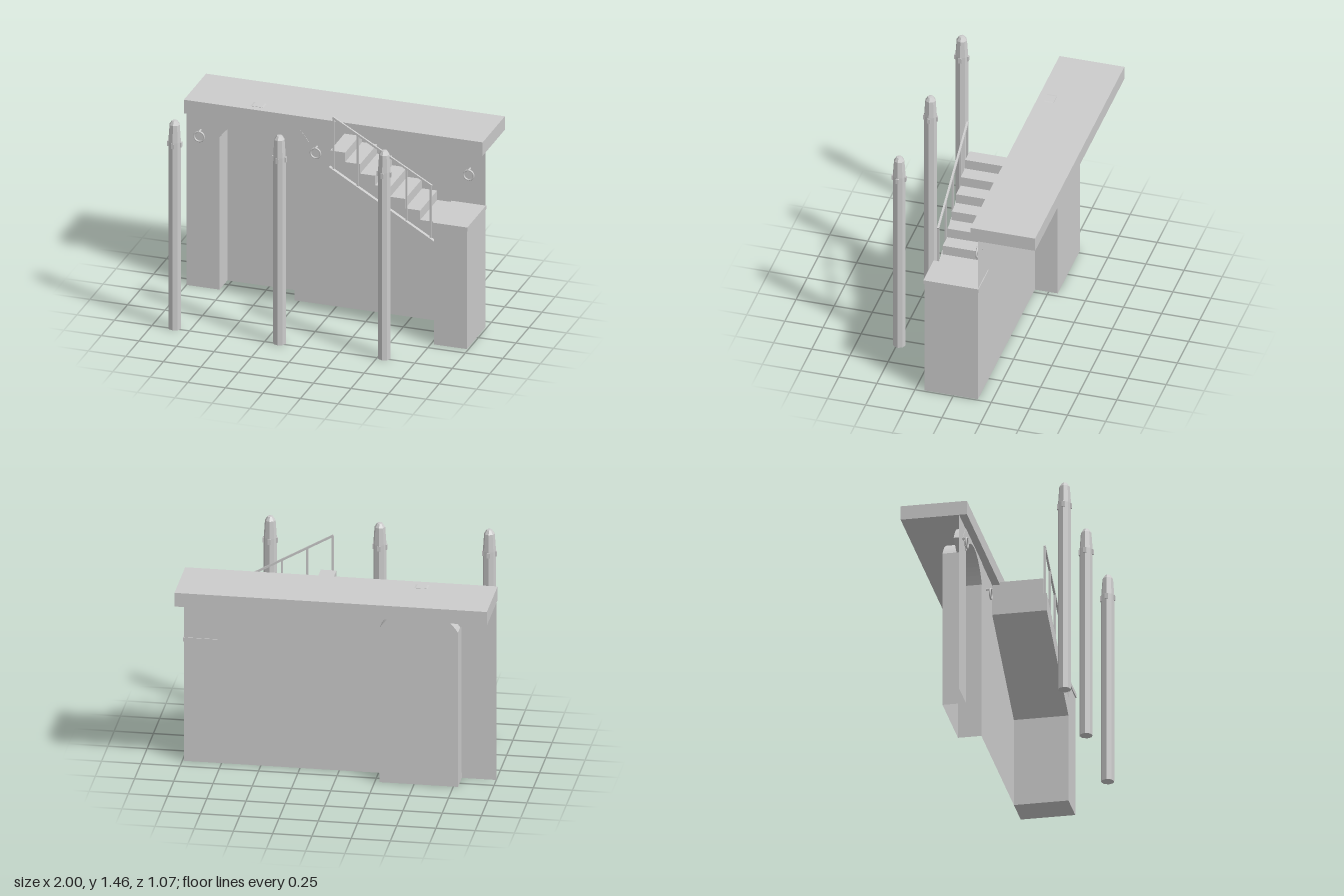
import * as THREE from 'three';

const mat = new THREE.MeshStandardMaterial({ color: 0xcccccc });
const flat = new THREE.MeshStandardMaterial({ color: 0xcccccc, flatShading: true });
const thin = new THREE.MeshStandardMaterial({ color: 0xcccccc, side: THREE.DoubleSide });

export function createModel() {
  const model = new THREE.Group();

  const add = (name, geometry, material = mat, parent = model) => {
    const mesh = new THREE.Mesh(geometry, material);
    mesh.name = name;
    parent.add(mesh);
    return mesh;
  };
  // Box given by its limits on each axis
  const box = (name, x0, x1, y0, y1, z0, z1, parent = model) => {
    const mesh = add(name, new THREE.BoxGeometry(x1 - x0, y1 - y0, z1 - z0), mat, parent);
    mesh.position.set((x0 + x1) / 2, (y0 + y1) / 2, (z0 + z1) / 2);
    return mesh;
  };
  const toShape = (pts) => new THREE.Shape(pts.map(([x, y]) => new THREE.Vector2(x, y)));
  const extrude = (name, pts, z0, z1) => {
    const g = new THREE.ExtrudeGeometry(toShape(pts), { depth: z1 - z0, bevelEnabled: false });
    return add(name, g.translate(0, 0, z0));
  };

  // Arch geometry: a segment of a circle between two springing points
  const cx = -0.53, cy = 0.897, rIn = 0.293, rOut = 0.404;
  const a0 = Math.atan2(0.153, 0.25);
  const arc = (r, n) => Array.from({ length: n + 1 }, (_, i) => {
    const a = Math.PI - a0 - (Math.PI - 2 * a0) * i / n;
    return [cx + r * Math.cos(a), cy + r * Math.sin(a)];
  });
  const opening = [[-0.78, 0], ...arc(rIn, 20), [-0.28, 0]];

  // Wall with the arched opening cut up from its foot
  const wallZ = -0.16, nicheZ = -0.31;
  const wallPts = [[-1, 0], ...opening, [0.99, 0], [0.99, 1.205], [-1, 1.205]];
  add('wall', new THREE.ShapeGeometry(toShape(wallPts)).translate(0, 0, wallZ), thin);

  // Niche: back panel and the strip that lines the opening
  add('nicheBack', new THREE.ShapeGeometry(toShape(opening)).translate(0, 0, nicheZ), thin);
  const strip = [];
  for (let i = 0; i < opening.length - 1; i++) {
    const [ax, ay] = opening[i], [bx, by] = opening[i + 1];
    strip.push(ax, ay, wallZ, ax, ay, nicheZ, bx, by, nicheZ,
      ax, ay, wallZ, bx, by, nicheZ, bx, by, wallZ);
  }
  const lining = new THREE.BufferGeometry();
  lining.setAttribute('position', new THREE.Float32BufferAttribute(strip, 3));
  lining.computeVertexNormals();
  add('nicheLining', lining, thin);

  extrude('archTrim', [...arc(rIn, 20), ...arc(rOut, 13).reverse()], -0.22, -0.157);

  // Roof slab
  box('roof', -1, 0.99, 1.205, 1.298, -0.535, -0.11);

  // Landing
  box('landingPier', 0.77, 0.99, 0, 0.815, -0.16, 0.19);
  box('landingSlab', 0.765, 0.995, 0.815, 0.842, -0.165, 0.197);

  // Stair: sloping slab carrying seven steps
  extrude('stairSlab', [[0.07, 1.0], [0.77, 0.59], [0.77, 0.71], [0.07, 1.12]], -0.16, 0.19);
  const steps = [[0.07, 1.12], [0.77, 0.71]];
  for (let i = 6; i >= 0; i--) {
    const x = 0.07 + i * 0.1, y = 1.223 - i * 0.065;
    steps.push([x + 0.1, y], [x, y]);
  }
  extrude('steps', steps, -0.16, 0.165);

  // Railing
  const railing = new THREE.Group();
  railing.name = 'railing';
  model.add(railing);
  const railY = (x) => 1.455 - (x - 0.095) * 0.57;
  for (let i = 0; i < 5; i++) {
    const x = 0.095 + i * 0.162;
    box('railPost', x - 0.006, x + 0.006, 1.12 - (x - 0.07) * 0.586, railY(x), 0.166, 0.178, railing);
  }
  const railLength = Math.hypot(0.66, 0.66 * 0.57);
  const rail = add('handrail', new THREE.BoxGeometry(railLength, 0.013, 0.013), mat, railing);
  rail.position.set(0.42, railY(0.42), 0.172);
  rail.rotation.z = -Math.atan(0.57);

  // Octagonal mooring posts with four lugs each
  const profile = [[0, 0], [0.042, 0], [0.042, 1.29], [0.034, 1.405], [0.018, 1.43], [0, 1.433]]
    .map(([x, y]) => new THREE.Vector2(x, y));
  for (const x of [-0.853, -0.155, 0.543]) {
    const post = new THREE.Group();
    post.name = 'mooringPost';
    post.position.set(x, 0, 0.487);
    add('postShaft', new THREE.LatheGeometry(profile, 8), flat, post);
    for (let k = 0; k < 4; k++) {
      const lug = add('postLug', new THREE.BoxGeometry(0.02, 0.034, 0.02), mat, post);
      const a = k * Math.PI / 2;
      lug.position.set(Math.sin(a) * 0.037, 1.27, Math.cos(a) * 0.037);
      lug.rotation.y = a;
    }
    model.add(post);
  }

  // Wall rings hanging from short pins
  for (const x of [-0.905, -0.13, 0.89]) {
    const ring = new THREE.Group();
    ring.name = 'wallRing';
    ring.position.set(x, 1.05, 0);
    add('ring', new THREE.TorusGeometry(0.033, 0.006, 8, 24), mat, ring).position.z = -0.129;
    const pin = add('ringPin', new THREE.CylinderGeometry(0.007, 0.007, 0.042, 8), mat, ring);
    pin.rotation.x = Math.PI / 2;
    pin.position.set(0, 0.033, -0.14);
    model.add(ring);
  }

  return model;
}
